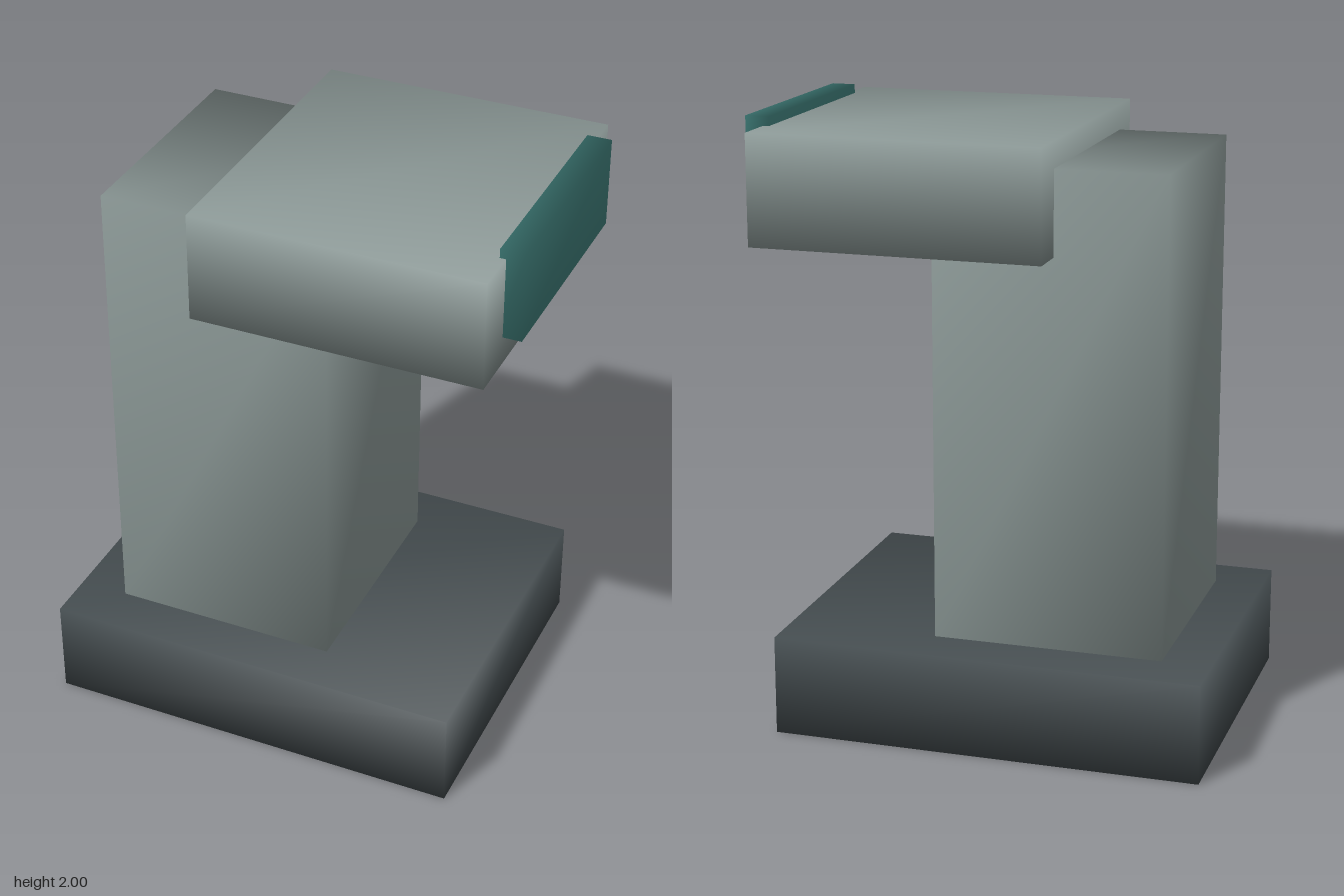
import * as THREE from 'three';
import { mergeVertices } from 'three/addons/utils/BufferGeometryUtils.js';

// Box from its min/max corners, with corners welded so the shading runs softly across edges
function softBox(name, color, [x0, y0, z0], [x1, y1, z1]) {
  const box = new THREE.BoxGeometry(x1 - x0, y1 - y0, z1 - z0);
  box.deleteAttribute('normal');
  box.deleteAttribute('uv');
  const geometry = mergeVertices(box);
  geometry.computeVertexNormals();
  const mesh = new THREE.Mesh(geometry, new THREE.MeshStandardMaterial({ color }));
  mesh.name = name;
  mesh.position.set((x0 + x1) / 2, (y0 + y1) / 2, (z0 + z1) / 2);
  return mesh;
}

export function createModel() {
  const group = new THREE.Group();
  group.name = 'pedestalTerminal';
  const body = 0x8c9997, dark = 0x444c4f, teal = 0x3f7d79;

  group.add(
    // Wide dark foot
    softBox('base', dark, [-0.77, 0, -0.56], [0.645, 0.33, 0.56]),
    // Upright post, set towards the right of the foot
    softBox('column', body, [-0.607, 0.33, -0.395], [0.15, 1.885, 0.395]),
    // Overhanging head block
    softBox('head', body, [-0.245, 1.61, -0.527], [0.71, 1.97, 0.527]),
    // Thin panel sunk into the end of the head
    softBox('panel', teal, [0.69, 1.705, -0.38], [0.77, 2, 0.38]),
  );
  return group;
}
